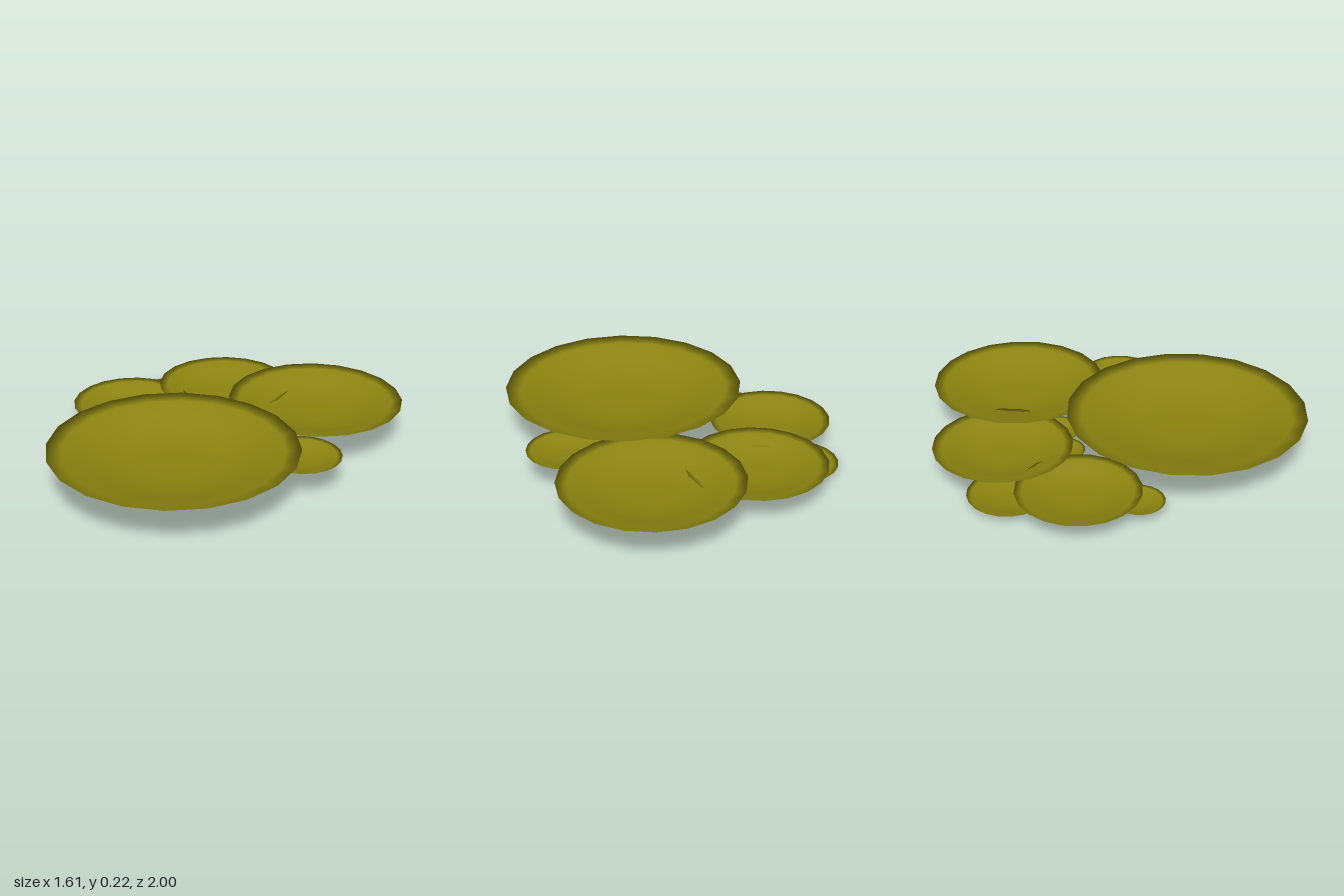
import * as THREE from 'three';

// Shallow round pads: [name, x, z, radius, rim height]
const PADS = [
  ['largeFrontPad', 0.15, 0.38, 0.618, 0.222],
  ['backPad', 0.34, -0.55, 0.452, 0.197],
  ['backLeftPad', -0.22, -0.5, 0.355, 0.142],
  ['sidePad', -0.5, -0.055, 0.312, 0.11],
  ['lowBackPad', -0.49, -0.405, 0.208, 0.04],
  ['smallSidePad', 0.6, -0.05, 0.202, 0.152],
  ['tinyFrontPad', -0.465, 0.235, 0.13, 0.06],
  ['tinyMiddlePad', 0.11, -0.29, 0.125, 0.06],
  ['tinyInnerPad', -0.11, -0.22, 0.117, 0.075],
];

// Unit dish as [radius, height]: underside out to the rim, then the hollow back in
const DISH = [
  [0, -0.18], [0.24, -0.18], [0.46, -0.168], [0.68, -0.1], [0.88, -0.028], [1, 0],
  [0.88, -0.018], [0.68, -0.083], [0.46, -0.148], [0.24, -0.162], [0, -0.162],
].map(([r, y]) => new THREE.Vector2(r, y));

export function createModel() {
  const group = new THREE.Group();
  group.name = 'lilyPads';
  const material = new THREE.MeshStandardMaterial({ color: 0x8c8410 });
  const dish = new THREE.LatheGeometry(DISH, 20);

  for (const [name, x, z, radius, rim] of PADS) {
    const pad = new THREE.Mesh(dish, material);
    pad.name = name;
    pad.position.set(x, rim, z);
    pad.scale.setScalar(radius);
    group.add(pad);
  }
  return group;
}
